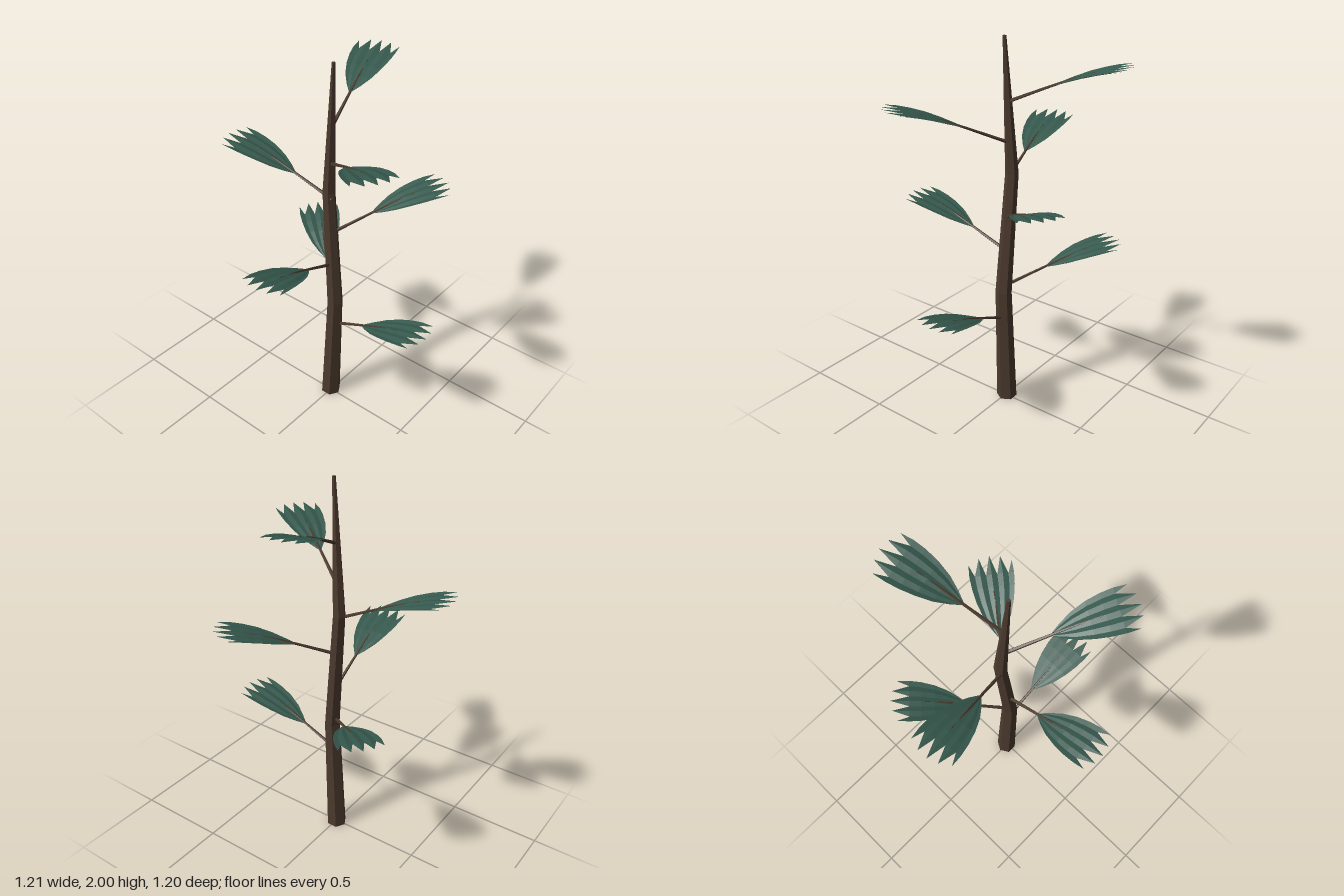
import * as THREE from 'three';

const bark = new THREE.MeshStandardMaterial({ color: 0x4c3a2e, flatShading: true });
const green = new THREE.MeshStandardMaterial({ color: 0x35584d, flatShading: true, side: THREE.DoubleSide });

// Tapered limb: every ring of a cylinder moves to a knot [x, y, z, radius]
function limb(knots, sides, alongX, name) {
  const n = knots.length - 1;
  const geo = new THREE.CylinderGeometry(1, 1, 1, sides, n);
  geo.rotateY(Math.PI / 6);
  if (alongX) geo.rotateZ(-Math.PI / 2);
  const p = geo.attributes.position;
  for (let i = 0; i < p.count; i++) {
    const v = new THREE.Vector3().fromBufferAttribute(p, i);
    const [x, y, z, r] = knots[Math.round(((alongX ? v.x : v.y) + 0.5) * n)];
    if (alongX) p.setXYZ(i, x, y + v.y * r, z + v.z * r);
    else p.setXYZ(i, x + v.x * r, y, z + v.z * r);
  }
  geo.computeVertexNormals();
  const mesh = new THREE.Mesh(geo, bark);
  mesh.name = name;
  return mesh;
}

// Linear lookup in a list of [position, value] pairs
function lookup(table, x) {
  let i = 1;
  while (i < table.length - 1 && x > table[i][0]) i++;
  const [a, va] = table[i - 1], [b, vb] = table[i];
  return va + (vb - va) * (x - a) / (b - a);
}

// Height of the leaf's midline below its tip, and half width of the blade
const RISE = [[0, -0.212], [0.2, -0.125], [0.3, -0.083], [0.4, -0.045], [0.5, -0.018], [0.61, 0]];
const WIDTH = [[0.205, 0.004], [0.25, 0.036], [0.31, 0.07], [0.38, 0.094], [0.45, 0.108], [0.51, 0.113], [0.61, 0.108]];

// Pleated fan blade: five pointed fingers, four notches
function bladeGeometry() {
  const rows = [0.205, 0.25, 0.31, 0.38, 0.45, 0.51];
  const cols = 9;
  const point = (i, j) => {
    const u = (j - 4) / 4, finger = j % 2 === 0;
    let r = rows[Math.min(i, rows.length - 1)];
    if (i === rows.length && finger) r = 0.608 - 0.036 * u * u;
    const w = lookup(WIDTH, r);
    const pleat = (finger ? 0.003 : -0.003) * Math.min(1, w / 0.1);
    return [r, lookup(RISE, r) + pleat, u * w];
  };
  const pos = [];
  for (let i = 0; i < rows.length; i++) {
    for (let j = 0; j < cols - 1; j++) {
      const a = point(i, j), b = point(i, j + 1), c = point(i + 1, j), d = point(i + 1, j + 1);
      if (i < rows.length - 1) pos.push(...a, ...b, ...d, ...a, ...d, ...c);
      else if (j % 2 === 0) pos.push(...a, ...b, ...c);
      else pos.push(...a, ...b, ...d);
    }
  }
  const geo = new THREE.BufferGeometry();
  geo.setAttribute('position', new THREE.Float32BufferAttribute(pos, 3));
  geo.computeVertexNormals();
  return geo;
}

export function createModel() {
  const group = new THREE.Group();
  group.name = 'sapling';

  // Crooked hexagonal trunk
  group.add(limb([
    [-0.005, 0, -0.005, 0.055],
    [0.024, 0.67, -0.005, 0.043],
    [-0.028, 1.32, -0.018, 0.034],
    [0.013, 2, -0.003, 0.009],
  ], 6, false, 'trunk'));

  // Seven leaves spiralling up the trunk by the golden angle
  const blade = bladeGeometry();
  for (let i = 0; i < 7; i++) {
    const leaf = new THREE.Group();
    leaf.name = 'leaf' + (i + 1);
    const stem = [[0, 0.01], [0.2, 0.007], [0.3, 0.006], [0.43, 0.004]];
    leaf.add(limb(stem.map(([r, t]) => [r, lookup(RISE, r), 0, t]), 5, true, 'stem'));
    const fan = new THREE.Mesh(blade, green);
    fan.name = 'blade';
    leaf.add(fan);
    leaf.position.set(0, 0.715 + 0.197 * i, -0.007);
    leaf.rotation.y = THREE.MathUtils.degToRad(137.5 * i);
    group.add(leaf);
  }
  return group;
}
